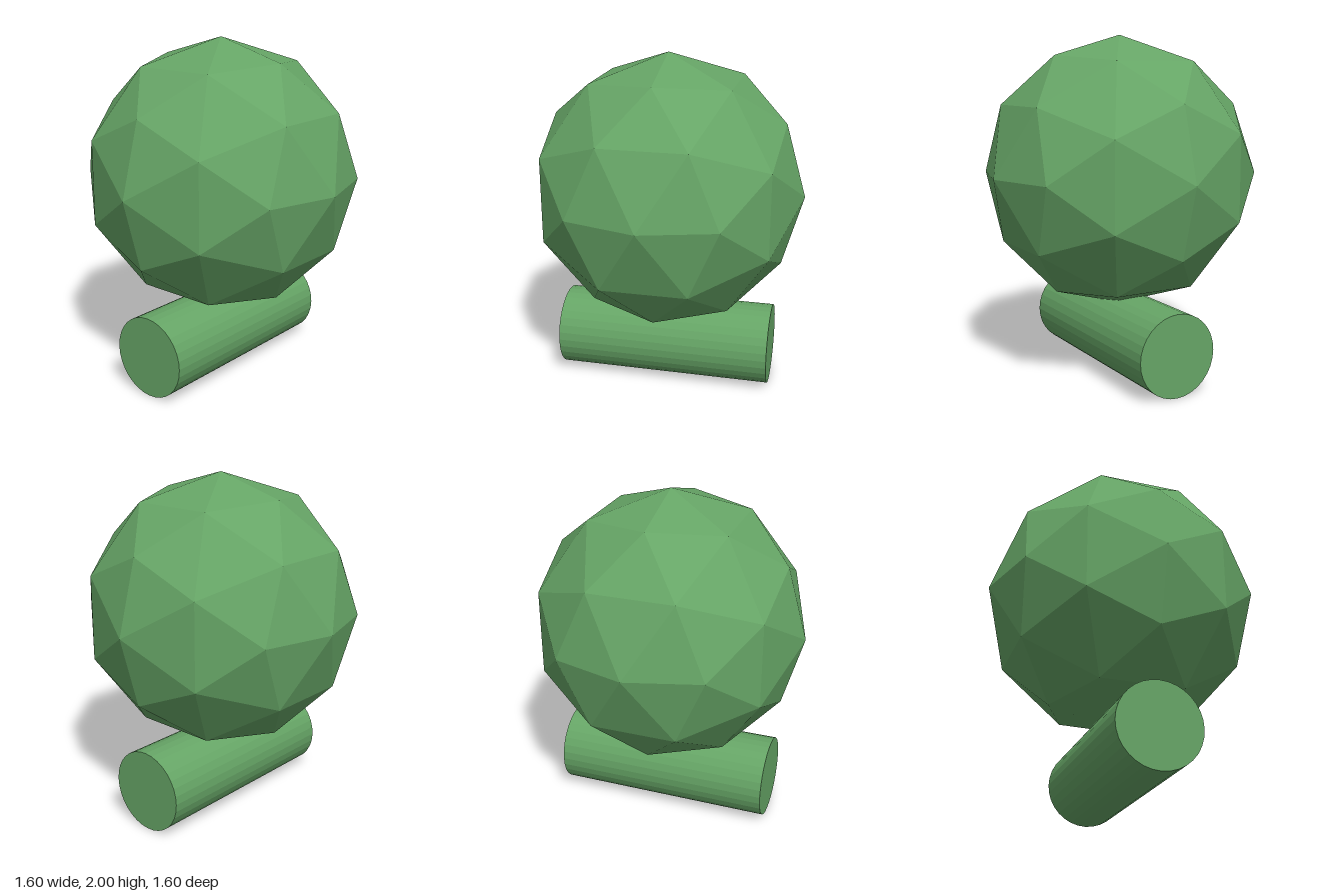
import * as THREE from 'three';

export function createModel() {
  const model = new THREE.Group();
  model.name = 'ballOnRoller';
  const material = new THREE.MeshStandardMaterial({ color: 0x66a566 });
  material.flatShading = true;

  const addPart = (name, geometry, y) => {
    const mesh = new THREE.Mesh(geometry, material);
    mesh.name = name;
    mesh.position.y = y;
    model.add(mesh);
  };

  // Faceted ball, sunk slightly into the roller
  addPart('ball', new THREE.IcosahedronGeometry(0.8, 1), 1.2);

  // Roller lying along z
  addPart('roller', new THREE.CylinderGeometry(0.24, 0.24, 1.28, 32).rotateX(Math.PI / 2), 0.24);

  return model;
}
